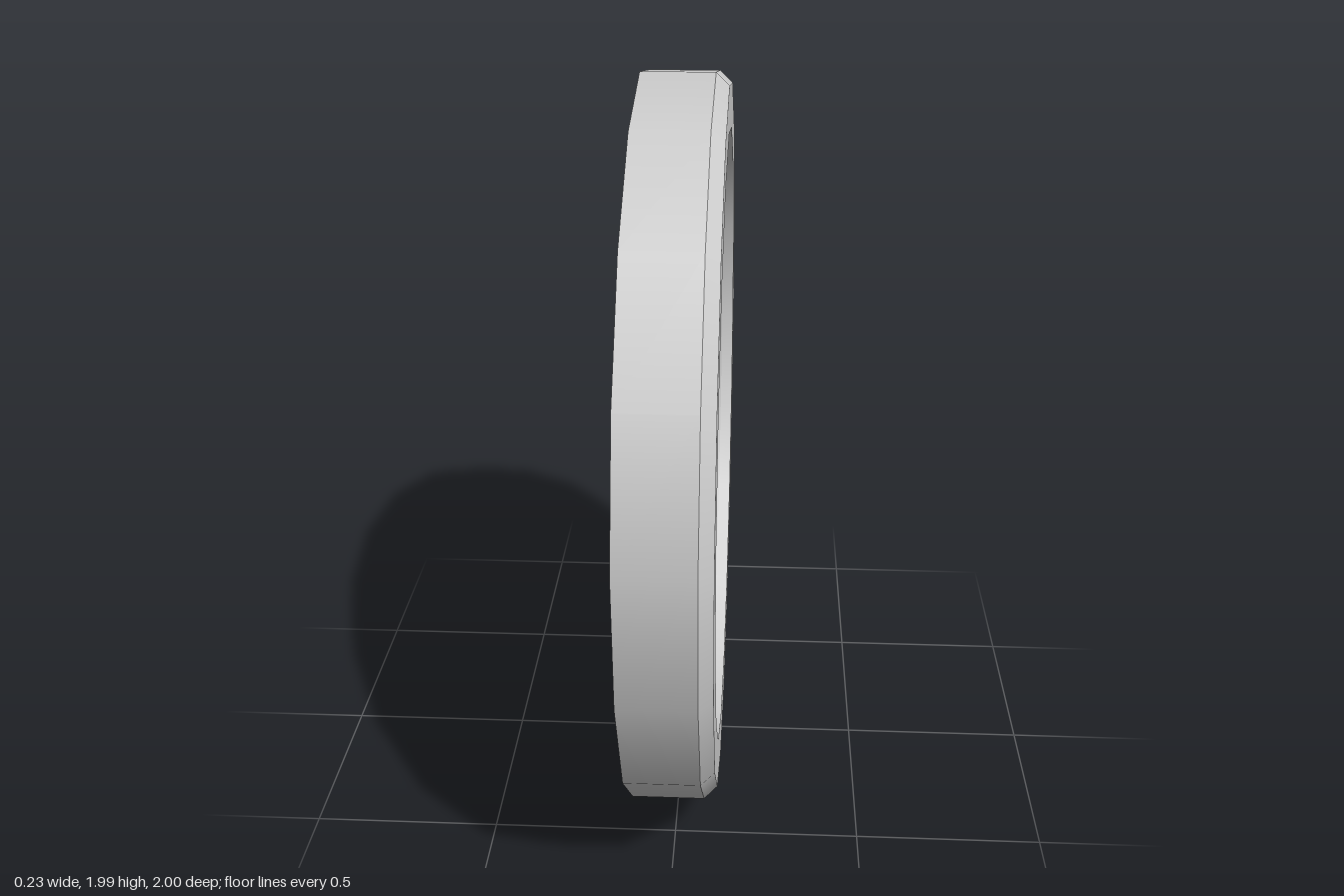
import * as THREE from 'three';

const SIDES = 17;
const RADIUS = 1.004;

export function createModel() {
  const group = new THREE.Group();
  group.name = 'rimmedDisc';
  const material = new THREE.MeshStandardMaterial({ color: 0xcccccc, side: THREE.DoubleSide });

  // One band of the shell, revolved about the x axis between two [radius, x] points
  const addBand = (name, [r0, x0], [r1, x1]) => {
    const points = [new THREE.Vector2(r0, x0), new THREE.Vector2(r1, x1)];
    const geometry = new THREE.LatheGeometry(points, SIDES, -Math.PI / 2);
    geometry.rotateZ(-Math.PI / 2);
    const mesh = new THREE.Mesh(geometry, material);
    mesh.name = name;
    // Lowest flat side rests on the floor
    mesh.position.y = RADIUS * Math.cos(Math.PI / SIDES);
    group.add(mesh);
  };

  // Thin shell, open at the back (-x), with bevelled rim and recessed panel
  const profile = [
    [RADIUS, -0.115], [RADIUS, 0.08], [0.97, 0.115],
    [0.848, 0.115], [0.828, 0.08], [0.828, 0],
  ];
  const names = ['outerWall', 'outerBevel', 'rimFace', 'innerBevel', 'innerWall'];
  names.forEach((name, i) => addBand(name, profile[i], profile[i + 1]));

  // Flat panel closing the recess
  const panel = new THREE.Mesh(new THREE.CircleGeometry(0.828, SIDES, Math.PI / 2), material);
  panel.geometry.rotateY(Math.PI / 2);
  panel.name = 'recessedPanel';
  panel.position.y = RADIUS * Math.cos(Math.PI / SIDES);
  group.add(panel);

  return group;
}
